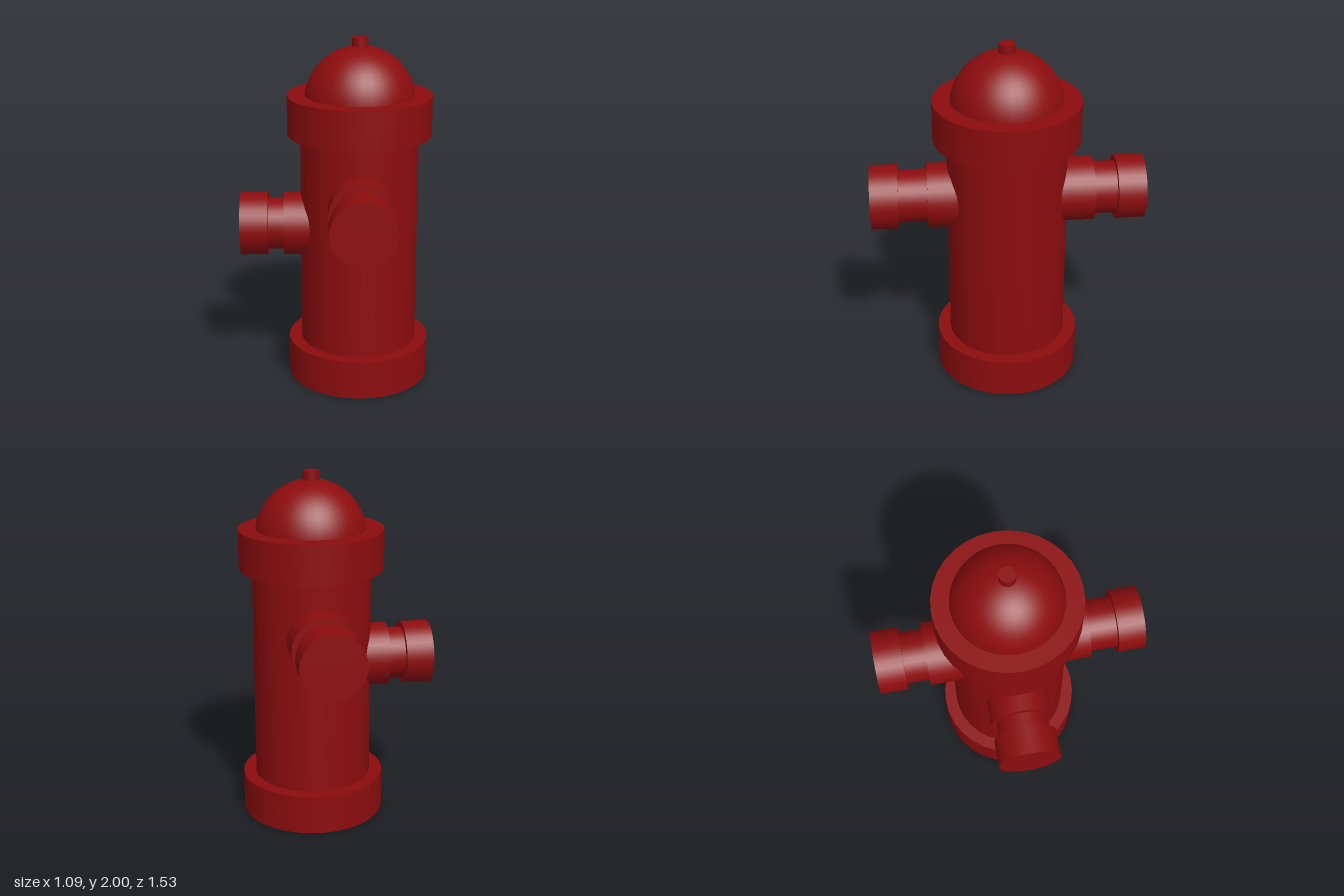
import * as THREE from 'three';

const AXIS_X = 0.133;

export function createModel() {
  const hydrant = new THREE.Group();
  hydrant.name = 'hydrant';
  const red = new THREE.MeshStandardMaterial({ color: 0x8c0c0e });

  const add = (parent, name, geometry) => {
    const mesh = new THREE.Mesh(geometry, red);
    mesh.name = name;
    parent.add(mesh);
    return mesh;
  };

  // Upright cylinder between two heights
  const drum = (parent, name, radius, y0, y1, sides = 32) => {
    const mesh = add(parent, name, new THREE.CylinderGeometry(radius, radius, y1 - y0, sides));
    mesh.position.y = (y0 + y1) / 2;
    return mesh;
  };

  // Barrel with its flanges, dome and top nut
  const barrel = new THREE.Group();
  barrel.name = 'barrel';
  barrel.position.x = AXIS_X;
  hydrant.add(barrel);
  drum(barrel, 'baseFlange', 0.408, 0, 0.225);
  drum(barrel, 'body', 0.335, 0.225, 1.455);
  drum(barrel, 'topFlange', 0.408, 1.455, 1.68);
  const dome = add(barrel, 'dome',
    new THREE.SphereGeometry(0.312, 32, 16, 0, Math.PI * 2, 0, Math.PI / 2));
  dome.position.y = 1.64;
  drum(barrel, 'topNut', 0.045, 1.9, 2);

  // Outlet built along +y, then tipped outward; distances run from the barrel axis
  const outlet = (name, y, collarEnd, capStart, capEnd, rotation) => {
    const group = new THREE.Group();
    group.name = name;
    drum(group, 'collar', 0.18, 0.12, collarEnd);
    drum(group, 'neck', 0.148, collarEnd, capStart);
    drum(group, 'cap', 0.18, capStart, capEnd);
    group.rotation.set(...rotation);
    group.position.set(AXIS_X, y, 0);
    hydrant.add(group);
  };
  outlet('frontOutlet', 1.113, 0.447, 0.607, 0.763, [Math.PI / 2, 0, 0]);
  outlet('backOutlet', 1.117, 0.477, 0.605, 0.763, [-Math.PI / 2, 0, 0]);
  outlet('rightOutlet', 0.921, 0.43, 0.523, 0.68, [0, 0, Math.PI / 2]);

  return hydrant;
}
